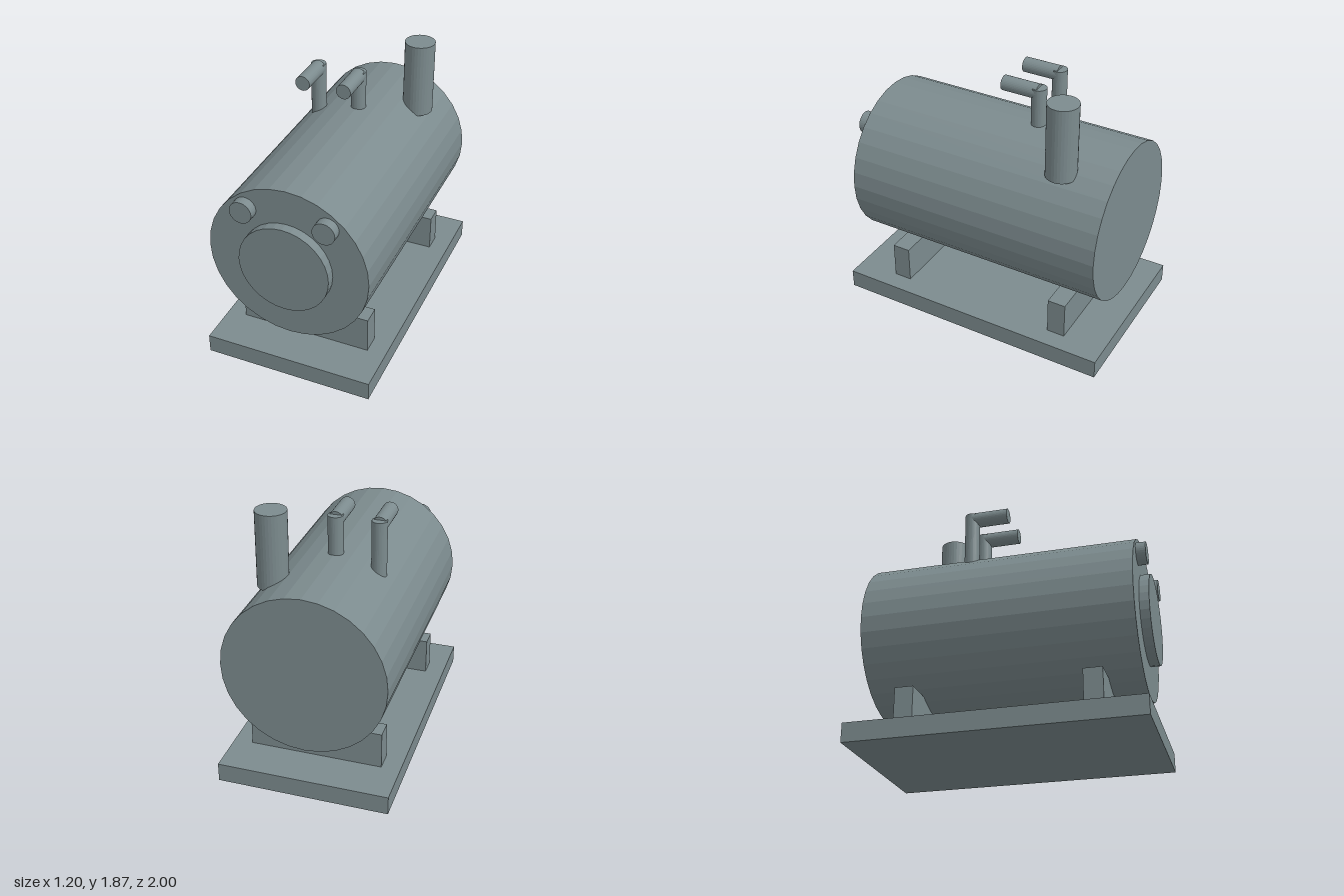
import * as THREE from 'three';

export function createModel() {
  const model = new THREE.Group();
  model.name = 'boiler';

  const steel = new THREE.MeshStandardMaterial({ color: 0x7c8b8e, flatShading: true });
  steel.name = 'grey steel';

  const add = (name, geometry, x, y, z) => {
    const mesh = new THREE.Mesh(geometry, steel);
    mesh.name = name;
    mesh.position.set(x, y, z);
    model.add(mesh);
  };
  const box = (name, w, h, d, x, y, z) => add(name, new THREE.BoxGeometry(w, h, d), x, y, z);
  // Upright cylinder between two heights
  const upright = (name, r, y0, y1, x, z) =>
    add(name, new THREE.CylinderGeometry(r, r, y1 - y0, 32), x, (y0 + y1) / 2, z);
  // Cylinder lying along z between two depths
  const lying = (name, r, z0, z1, x, y) =>
    add(name, new THREE.CylinderGeometry(r, r, z1 - z0, 32).rotateX(Math.PI / 2), x, y, (z0 + z1) / 2);

  // Base and the two supports
  box('basePlate', 1.2, 0.135, 2, 0, 0.0675, 0);
  box('frontSupport', 0.935, 0.265, 0.13, 0, 0.2675, 0.635);
  box('rearSupport', 0.935, 0.265, 0.13, 0, 0.2675, -0.635);

  // Drum with its front door and two ports
  lying('drum', 0.565, -0.933, 0.933, 0, 0.902);
  lying('frontDoor', 0.318, 0.92, 1, 0, 0.902);
  for (const side of [-1, 1]) {
    lying(side < 0 ? 'rightPort' : 'leftPort', 0.078, 0.92, 1, side * 0.286, 1.27);
  }

  // Chimney
  upright('chimney', 0.106, 1.34, 1.87, 0.32, -0.567);

  // Two bent outlet pipes
  for (const [name, x] of [['middle', 0], ['right', -0.3]]) {
    upright(name + 'PipeRiser', 0.053, 1.33, 1.737, x, -0.232);
    lying(name + 'PipeOutlet', 0.053, -0.232, 0.033, x, 1.705);
  }

  return model;
}
